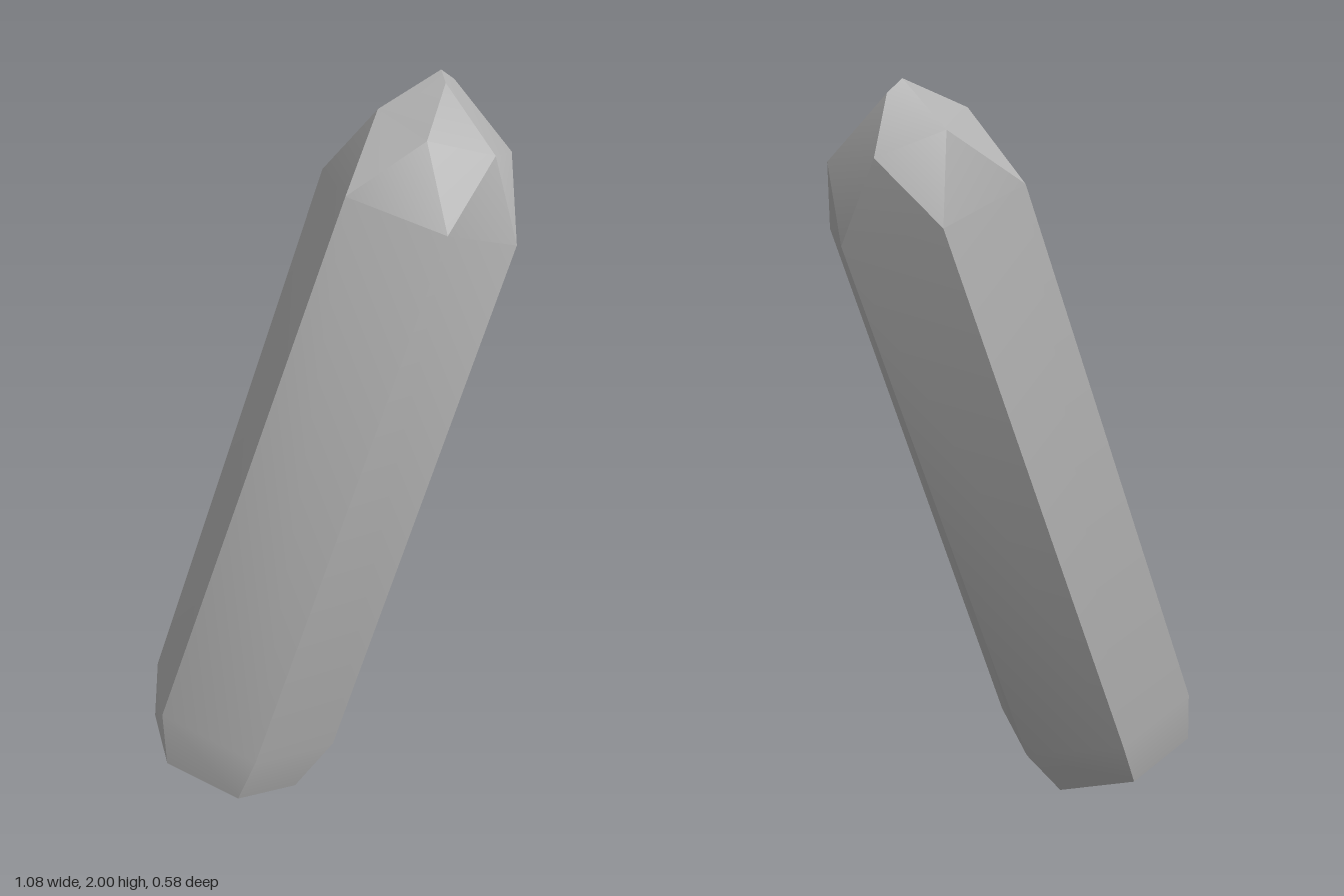
import * as THREE from 'three';
import { ConvexGeometry } from 'three/addons/geometries/ConvexGeometry.js';
import { toCreasedNormals } from 'three/addons/utils/BufferGeometryUtils.js';

// Corners of the cut stone, ring by ring from foot to tip
const foot = [
  [-0.535, 0.16, -0.03], [-0.42, 0.105, 0.16], [-0.21, 0.025, 0.14],
  [-0.11, 0, -0.07], [-0.22, 0.06, -0.26], [-0.44, 0.13, -0.26],
];
const lowerRing = [
  [-0.54, 0.34, -0.03], [-0.39, 0.26, 0.21], [-0.11, 0.17, 0.19],
  [0.01, 0.14, -0.06], [-0.14, 0.2, -0.295], [-0.4, 0.285, -0.295],
];
const shoulder = [
  [0.01, 1.78, 0.07], [0.155, 1.715, 0.29], [0.405, 1.62, 0.27],
  [0.535, 1.6, 0.03], [0.39, 1.65, -0.19], [0.13, 1.745, -0.19],
];
const crown = [
  [0.205, 1.9, 0.14], [0.365, 1.85, 0.215], [0.512, 1.8, 0.115],
  [0.507, 1.815, -0.075], [0.35, 1.88, -0.155], [0.2, 1.93, -0.05],
];
const tip = [[0.36, 1.985, 0.02], [0.44, 1.965, -0.04], [0.39, 2, -0.035]];

export function createModel() {
  const group = new THREE.Group();
  group.name = 'crystalShard';

  const stone = new THREE.MeshStandardMaterial({ color: 0xb0b0b0 });
  stone.name = 'grey stone';

  // The shard is convex, so its facets follow from its corners
  const points = [foot, lowerRing, shoulder, crown, tip]
    .flat()
    .map((p) => new THREE.Vector3(...p));
  // Sharp long edges, softly blended shallow bevels
  const geometry = toCreasedNormals(new ConvexGeometry(points), 0.52);

  const crystal = new THREE.Mesh(geometry, stone);
  crystal.name = 'crystal';
  group.add(crystal);
  return group;
}
